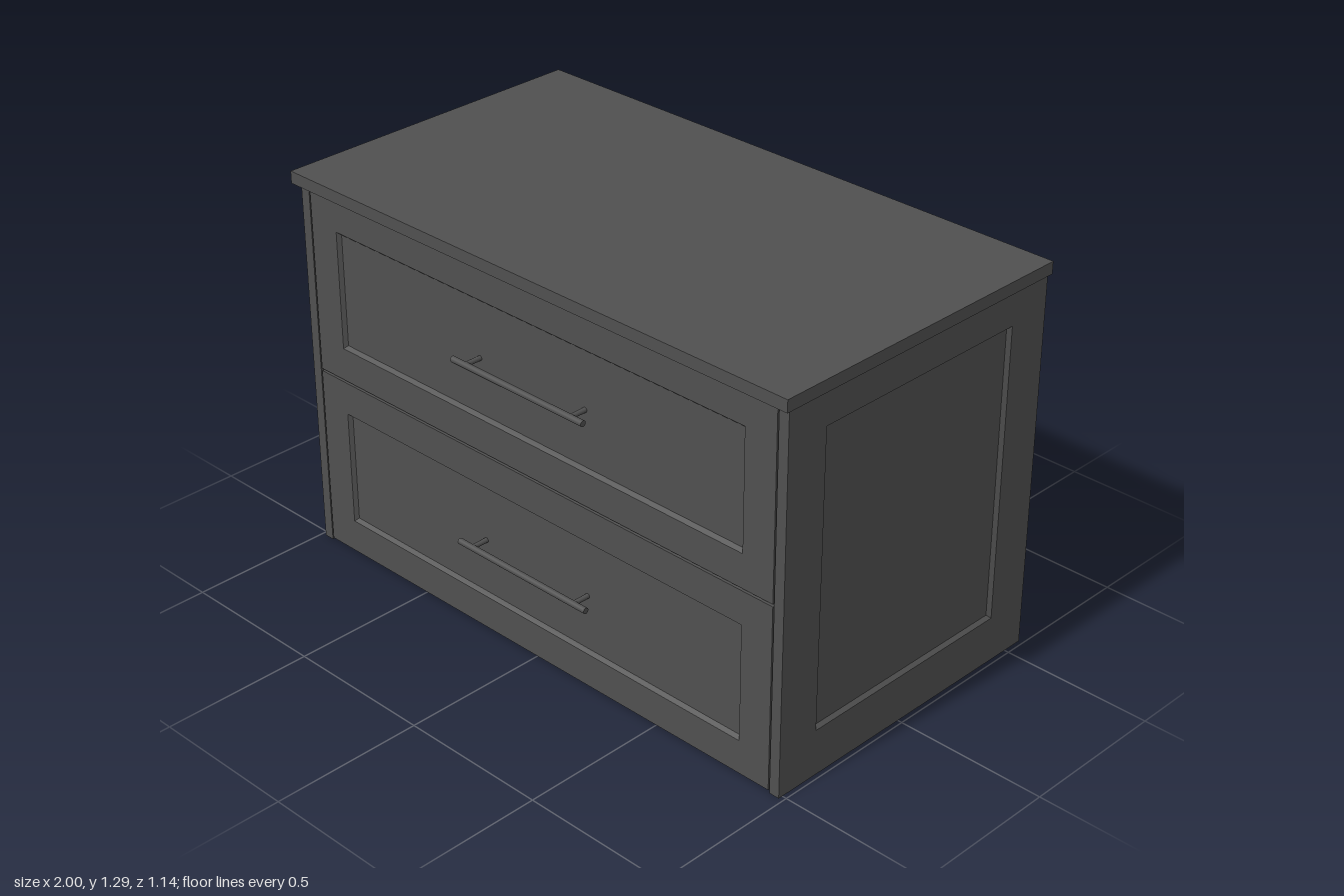
import * as THREE from 'three';

const material = new THREE.MeshStandardMaterial({ color: 0x505050 });

function addMesh(parent, name, geometry, x = 0, y = 0, z = 0) {
  const mesh = new THREE.Mesh(geometry, material);
  mesh.name = name;
  mesh.position.set(x, y, z);
  parent.add(mesh);
  return mesh;
}

// Box given by its lower and upper limits
function addBox(parent, name, [x0, y0, z0], [x1, y1, z1]) {
  return addMesh(parent, name, new THREE.BoxGeometry(x1 - x0, y1 - y0, z1 - z0),
    (x0 + x1) / 2, (y0 + y1) / 2, (z0 + z1) / 2);
}

// Rectangles are [left, bottom, right, top]
const corners = ([l, b, r, t]) => [[l, b], [r, b], [r, t], [l, t]];
const toPoints = (rect) => corners(rect).map(([x, y]) => new THREE.Vector2(x, y));

// Sloped moulding running from the frame's opening down to the recessed panel
function mouldingGeometry(opening, width, depth) {
  const [l, b, r, t] = opening;
  const outer = corners(opening).map(([x, y]) => [x, y, 0]);
  const inner = corners([l + width, b + width, r - width, t - width]).map(([x, y]) => [x, y, -depth]);
  const positions = [];
  for (let i = 0; i < 4; i++) {
    const j = (i + 1) % 4;
    positions.push(...outer[i], ...outer[j], ...inner[j], ...outer[i], ...inner[j], ...inner[i]);
  }
  const geometry = new THREE.BufferGeometry();
  geometry.setAttribute('position', new THREE.Float32BufferAttribute(positions, 3));
  geometry.computeVertexNormals();
  return geometry;
}

// Shaker panel: frame, moulding and recessed centre, its face at local z = 0
function shakerPanel(name, rect, opening, thickness) {
  const recess = 0.012;
  const group = new THREE.Group();
  group.name = name;
  const shape = new THREE.Shape(toPoints(rect));
  shape.holes.push(new THREE.Path(toPoints(opening).reverse()));
  const frame = new THREE.ExtrudeGeometry(shape, { depth: thickness, bevelEnabled: false });
  addMesh(group, 'frame', frame.translate(0, 0, -thickness));
  addMesh(group, 'moulding', mouldingGeometry(opening, 0.01, recess));
  const [l, b, r, t] = opening;
  addBox(group, 'recessedPanel', [l, b, -thickness], [r, t, -recess]);
  return group;
}

// Bar handle on two posts, mounted on the plane z = 0
function barHandle() {
  const group = new THREE.Group();
  group.name = 'handle';
  const bar = new THREE.CylinderGeometry(0.01, 0.01, 0.54, 20).rotateZ(Math.PI / 2);
  addMesh(group, 'handleBar', bar, 0, 0, 0.047);
  for (const side of [-1, 1]) {
    const post = new THREE.CylinderGeometry(0.008, 0.008, 0.06, 16).rotateX(Math.PI / 2);
    addMesh(group, 'handlePost', post, side * 0.217, 0, 0.017);
  }
  return group;
}

export function createModel() {
  const model = new THREE.Group();
  model.name = 'drawerCabinet';
  const front = 0.515, back = -0.57, bodyTop = 1.25;

  // Carcass and worktop
  addBox(model, 'carcass', [-0.95, 0, back], [0.95, bodyTop, 0.48]);
  addBox(model, 'worktop', [-1, bodyTop, back], [1, 1.29, 0.54]);

  // Side panels; local x runs backwards on the left side, forwards on the right
  for (const side of [1, -1]) {
    const rect = side > 0 ? [-front, 0, -back, bodyTop] : [back, 0, front, bodyTop];
    const opening = side > 0 ? [-0.365, 0.155, 0.42, 1.135] : [-0.42, 0.155, 0.365, 1.135];
    const panel = shakerPanel(side > 0 ? 'leftSidePanel' : 'rightSidePanel', rect, opening, 0.035);
    panel.rotation.y = side * Math.PI / 2;
    panel.position.x = side * 0.985;
    model.add(panel);
  }

  // Two drawer fronts with handles
  const drawers = [
    { name: 'lowerDrawer', bottom: 0.008, top: 0.621, opening: [0.12, 0.51], handleY: 0.315 },
    { name: 'upperDrawer', bottom: 0.629, top: 1.244, opening: [0.74, 1.135], handleY: 0.936 },
  ];
  for (const { name, bottom, top, opening: [low, high], handleY } of drawers) {
    const drawer = shakerPanel(name, [-0.945, bottom, 0.945, top], [-0.832, low, 0.832, high], 0.035);
    drawer.position.z = front;
    const handle = barHandle();
    handle.position.y = handleY;
    drawer.add(handle);
    model.add(drawer);
  }
  return model;
}
